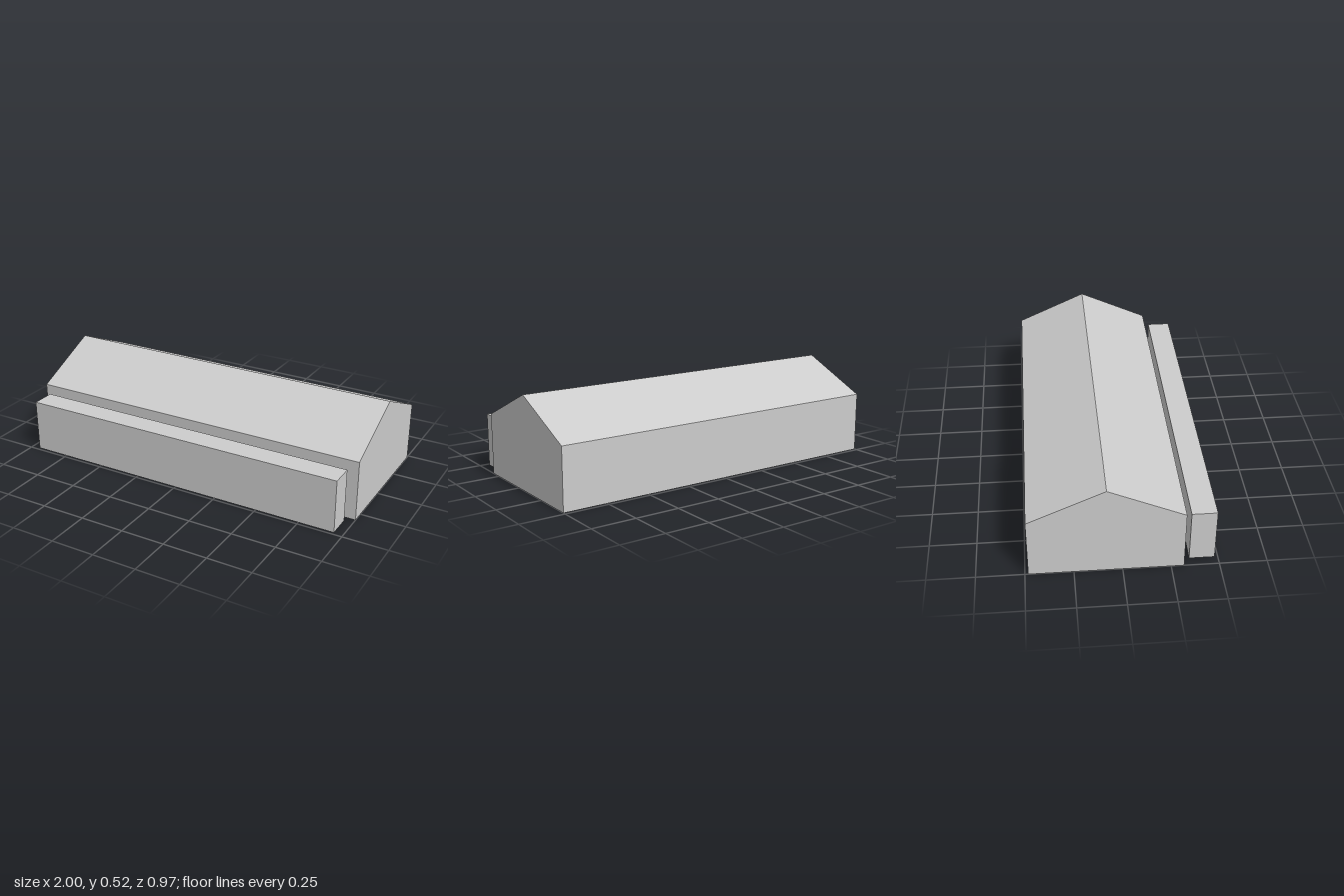
import * as THREE from 'three';

// Hollow shell, open underneath: a [z, y] profile running from the front
// base over the top to the back base, swept along x and closed at both ends.
function shellGeometry(profile, half) {
  const pos = [];
  const tri = (...pts) => pts.forEach(([x, [z, y]]) => pos.push(x, y, z));
  for (let i = 0; i < profile.length - 1; i++) {
    const p = profile[i], q = profile[i + 1];
    // wall or roof plane
    tri([-half, p], [half, p], [half, q]);
    tri([-half, p], [half, q], [-half, q]);
    // matching slices of the two end walls
    if (i > 0) {
      tri([half, profile[0]], [half, q], [half, p]);
      tri([-half, profile[0]], [-half, p], [-half, q]);
    }
  }
  const geometry = new THREE.BufferGeometry();
  geometry.setAttribute('position', new THREE.Float32BufferAttribute(pos, 3));
  geometry.computeVertexNormals();
  return geometry;
}

export function createModel() {
  const group = new THREE.Group();
  group.name = 'building';

  const grey = new THREE.MeshStandardMaterial({ color: 0xcccccc, side: THREE.DoubleSide });
  grey.name = 'light grey';

  const add = (name, profile, half) => {
    const mesh = new THREE.Mesh(shellGeometry(profile, half), grey);
    mesh.name = name;
    group.add(mesh);
  };

  // Long hall with a gabled roof
  add('gabledHall', [[0.317, 0], [0.317, 0.34], [-0.083, 0.52], [-0.483, 0.34], [-0.483, 0]], 1);

  // Low flat-topped block standing just in front of the hall
  add('frontBlock', [[0.483, 0], [0.483, 0.3], [0.35, 0.3], [0.35, 0]], 0.95);

  return group;
}
